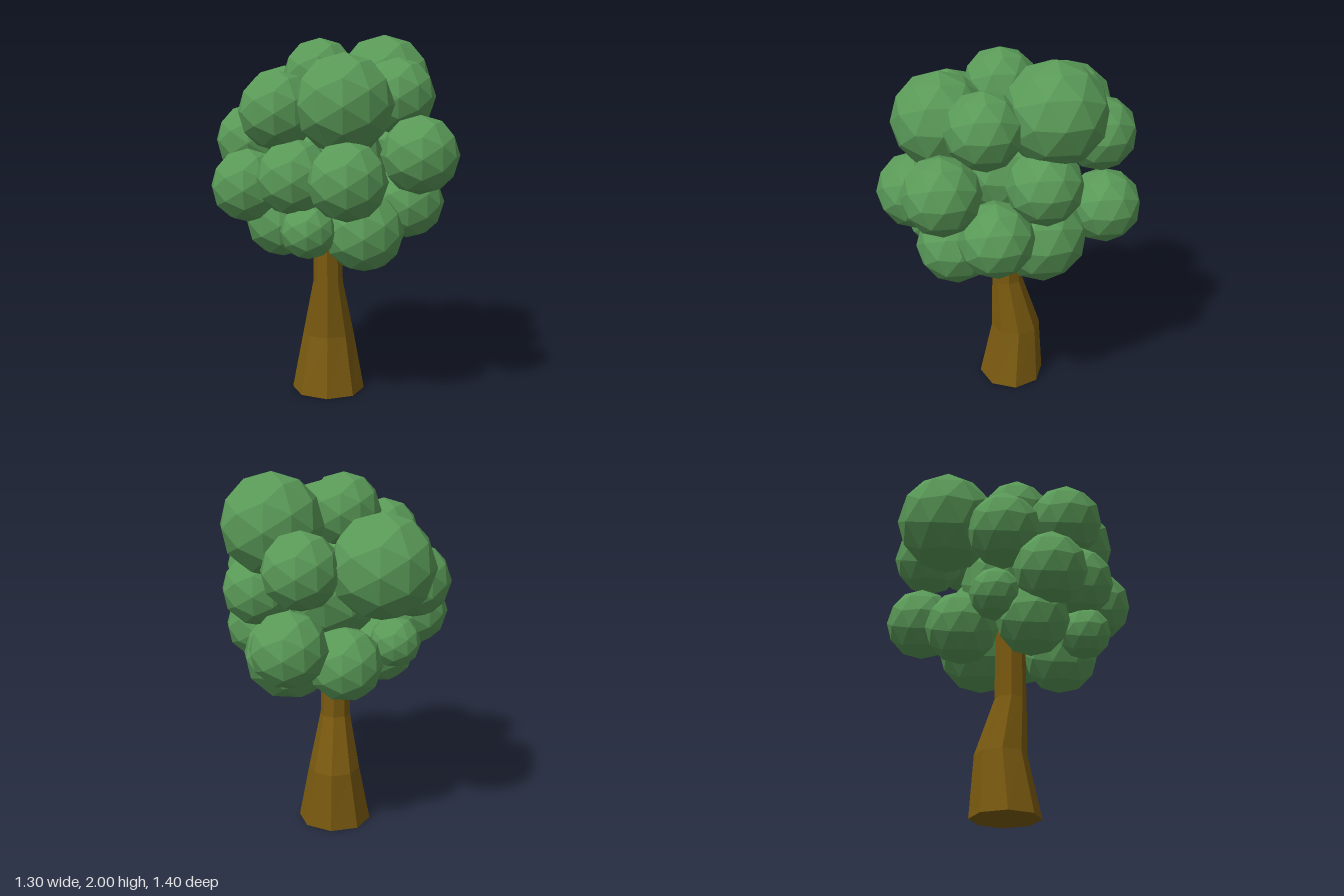
import * as THREE from 'three';

const bark = new THREE.MeshStandardMaterial({ color: 0x7a5a10, flatShading: true });
const leaf = new THREE.MeshStandardMaterial({ color: 0x5a9a58, flatShading: true });

// Trunk rings from the base up: [y, centreX, centreZ, radiusX, radiusZ]
const rings = [
  [0, -0.03, -0.025, 0.205, 0.187],
  [0.33, -0.03, -0.05, 0.143, 0.14],
  [0.64, -0.03, 0, 0.083, 0.086],
  [1.2, -0.035, 0, 0.075, 0.08],
];

// Leaf clumps: [x, y, z, radius]
const clumps = [
  // upper crown
  [0.275, 1.73, -0.2, 0.27],
  [-0.3, 1.56, -0.365, 0.27],
  [0.068, 1.65, 0.355, 0.255],
  [-0.07, 1.78, 0.03, 0.2],
  [0.09, 1.55, -0.47, 0.2],
  [-0.27, 1.61, 0.29, 0.205],
  [0.34, 1.68, 0.16, 0.2],
  // middle
  [-0.45, 1.43, -0.06, 0.2],
  [-0.445, 1.21, 0.18, 0.197],
  [-0.18, 1.28, 0.36, 0.2],
  [0.09, 1.28, 0.5, 0.203],
  [0.45, 1.4, 0.38, 0.2],
  [0.36, 1.38, -0.14, 0.2],
  [0.4, 1.12, 0.11, 0.2],
  [0.15, 1.16, -0.5, 0.2],
  // underside
  [0.17, 0.99, 0.3, 0.212],
  [0.2, 1.03, -0.15, 0.25],
  [-0.11, 1.02, -0.27, 0.2],
  [-0.27, 1.01, 0.1, 0.2],
  [-0.11, 1.01, 0.4, 0.145],
  [-0.36, 1.1, -0.1, 0.14],
  // hidden core
  [0, 1.35, 0, 0.28],
];

function makeTrunk() {
  // Each row of an eight-sided cylinder is moved onto its ring
  const geo = new THREE.CylinderGeometry(1, 1, 1, 8, rings.length - 1);
  const pos = geo.attributes.position;
  for (let i = 0; i < pos.count; i++) {
    const row = Math.round((pos.getY(i) + 0.5) * (rings.length - 1));
    const [y, cx, cz, rx, rz] = rings[row];
    pos.setXYZ(i, cx + pos.getX(i) * rx, y, cz + pos.getZ(i) * rz);
  }
  geo.computeVertexNormals();
  const trunk = new THREE.Mesh(geo, bark);
  trunk.name = 'trunk';
  return trunk;
}

export function createModel() {
  const tree = new THREE.Group();
  tree.name = 'tree';
  tree.add(makeTrunk());

  // Crown of faceted balls
  const crown = new THREE.Group();
  crown.name = 'crown';
  const ball = new THREE.IcosahedronGeometry(1, 1);
  for (const [x, y, z, r] of clumps) {
    const clump = new THREE.Mesh(ball, leaf);
    clump.name = 'leafClump';
    clump.position.set(x, y, z);
    clump.scale.setScalar(r);
    crown.add(clump);
  }
  tree.add(crown);
  return tree;
}
